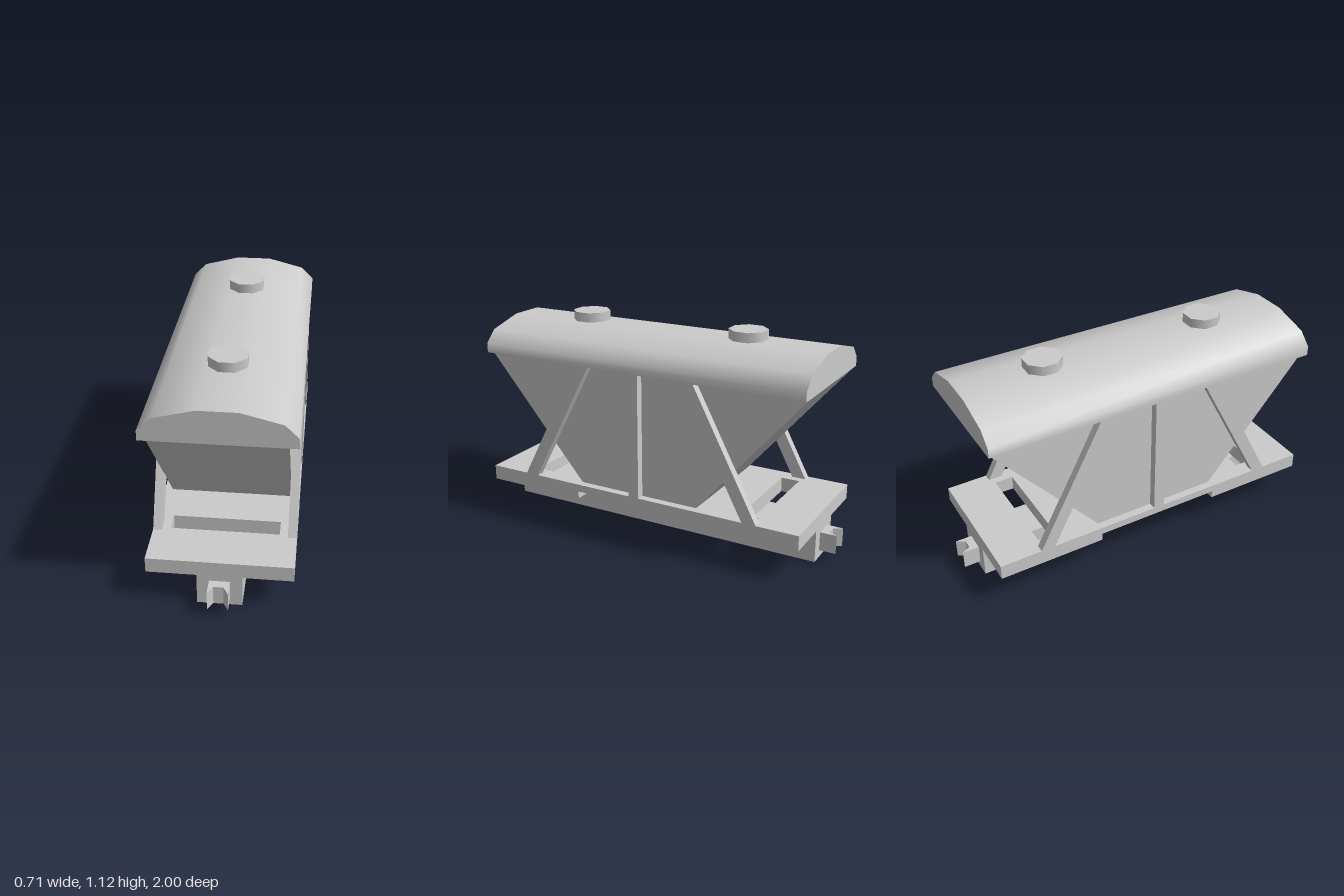
import * as THREE from 'three';
import { toCreasedNormals } from 'three/addons/utils/BufferGeometryUtils.js';

const material = new THREE.MeshStandardMaterial({ color: 0xcccccc });
const HALF_W = 0.355, HALF_L = 0.913, HOPPER_W = 0.313;
const DECK_TOP = 0.25, DECK_BOTTOM = 0.17, EAVES = 0.91, CHUTE_Z = 0.345;

export function createModel() {
  const model = new THREE.Group();
  model.name = 'hopperWagon';

  const add = (name, geometry, x = 0, y = 0, z = 0) => {
    const mesh = new THREE.Mesh(geometry, material);
    mesh.name = name;
    mesh.position.set(x, y, z);
    model.add(mesh);
    return mesh;
  };
  const shapeOf = (points) => new THREE.Shape(points.map(([a, b]) => new THREE.Vector2(a, b)));
  const extrude = (shape, depth) => new THREE.ExtrudeGeometry(shape, { depth, bevelEnabled: false });
  // profile in x,y, centred along z
  const alongZ = (points, length) => extrude(shapeOf(points), length).translate(0, 0, -length / 2);
  // profile in z,y, centred along x
  const alongX = (points, width) => alongZ(points, width).rotateY(Math.PI / 2);
  // plan outline in x,-z, rising from y = 0
  const upward = (shape, height) => extrude(shape, height).rotateX(-Math.PI / 2);

  // Rounded roof
  const roof = alongZ([
    [-HALF_W, EAVES], [HALF_W, EAVES], [HALF_W, 0.96], [0.29, 1.025], [0.095, 1.075],
    [-0.095, 1.075], [-0.29, 1.025], [-HALF_W, 0.96],
  ], HALF_L * 2);
  add('roof', toCreasedNormals(roof, 0.9));

  // Tapering hopper body
  add('hopper', alongX([
    [-CHUTE_Z, DECK_TOP], [CHUTE_Z, DECK_TOP], [HALF_L, EAVES], [-HALF_L, EAVES],
  ], HOPPER_W * 2));

  // Discharge chute under the hopper
  add('chute', alongZ([
    [-0.155, 0.115], [0.155, 0.115], [HOPPER_W, DECK_TOP], [-HOPPER_W, DECK_TOP],
  ], CHUTE_Z * 2));

  // Thin middle deck and centre sill
  add('middleDeck', new THREE.BoxGeometry(HALF_W * 2, 0.04, CHUTE_Z * 2), 0, 0.23, 0);
  add('centreSill', new THREE.BoxGeometry(0.22, DECK_BOTTOM, HALF_L * 2), 0, DECK_BOTTOM / 2, 0);

  // Slotted end deck outline
  const endDeck = shapeOf([
    [-HALF_W, -HALF_L], [HALF_W, -HALF_L], [HALF_W, -CHUTE_Z], [-HALF_W, -CHUTE_Z],
  ]);
  endDeck.holes.push(new THREE.Path(
    [[-0.27, -0.67], [-0.27, -0.57], [0.27, -0.57], [0.27, -0.67]]
      .map(([a, b]) => new THREE.Vector2(a, b))));

  // Forked coupler outline
  const coupler = shapeOf([
    [-0.05, -0.9], [-0.05, -1], [-0.025, -0.955], [0.025, -0.955], [0.05, -1], [0.05, -0.9],
  ]);

  // Parts repeated at both ends
  for (const [end, turn, side] of [['front', 0, 1], ['back', Math.PI, -1]]) {
    add(end + 'Deck', upward(endDeck, DECK_TOP - DECK_BOTTOM), 0, DECK_BOTTOM, 0).rotation.y = turn;
    add(end + 'Coupler', upward(coupler, 0.1), 0, 0.04, 0).rotation.y = turn;
    const hatch = new THREE.CylinderGeometry(0.1, 0.1, 0.06, 8, 1, false, Math.PI / 8);
    add(end + 'Hatch', hatch, 0, 1.095, side * 0.465);
  }

  // Side posts and diagonal braces
  const depth = HALF_W - HOPPER_W + 0.002;
  for (const [name, side] of [['left', 1], ['right', -1]]) {
    const x = side * (HALF_W - depth / 2);
    add(name + 'Post', new THREE.BoxGeometry(depth, EAVES - DECK_TOP, 0.06), x, (EAVES + DECK_TOP) / 2, 0);
    for (const [end, turn] of [['Front', Math.PI], ['Back', 0]]) {
      const brace = alongX([
        [0.615, DECK_TOP], [0.69, DECK_TOP], [0.34, EAVES], [0.265, EAVES],
      ], depth);
      add(name + end + 'Brace', brace, x, 0, 0).rotation.y = turn;
    }
  }

  return model;
}
